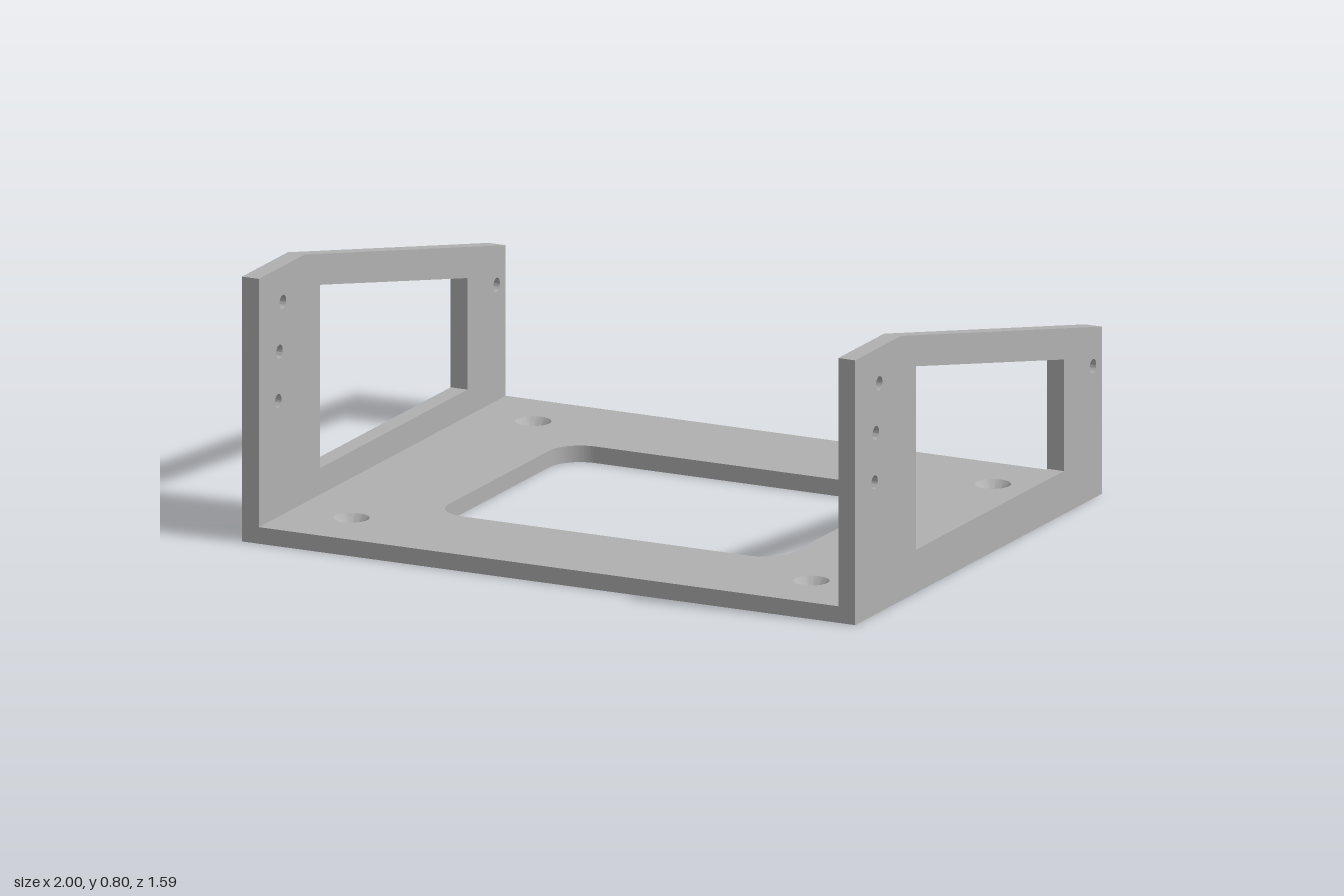
import * as THREE from 'three';
import { toCreasedNormals } from 'three/addons/utils/BufferGeometryUtils.js';

const HALF_DEPTH = 0.795;
const WALL = 0.055;
const FLOOR = 0.05;

function polygon(points) {
  return points.map(([a, b]) => new THREE.Vector2(a, b));
}

function circleHole(x, y, r) {
  return new THREE.Path().absarc(x, y, r, 0, Math.PI * 2, true);
}

function roundedHole(w, h, r) {
  const p = new THREE.Path();
  const x = w - r, y = h - r, q = Math.PI / 2;
  p.absarc(x, y, r, 0, q, false);
  p.absarc(-x, y, r, q, 2 * q, false);
  p.absarc(-x, -y, r, 2 * q, 3 * q, false);
  p.absarc(x, -y, r, 3 * q, 4 * q, false);
  p.closePath();
  return p;
}

function extrude(shape, depth) {
  const geo = new THREE.ExtrudeGeometry(shape, { depth, bevelEnabled: false, curveSegments: 16 });
  return toCreasedNormals(geo, 0.6);
}

export function createModel() {
  const group = new THREE.Group();
  const grey = new THREE.MeshStandardMaterial({ color: 0xb0b0b0 });
  grey.name = 'plain grey';

  const add = (name, geometry) => {
    const mesh = new THREE.Mesh(geometry, grey);
    mesh.name = name;
    group.add(mesh);
    return mesh;
  };

  // Floor plate with rounded opening and four screw holes
  const screwRadius = 0.053, boreRadius = 0.028;
  const screws = [[-0.75, -0.587], [0.75, -0.587], [-0.75, 0.583], [0.75, 0.583]];
  const inner = 1 - WALL;
  const floor = new THREE.Shape(polygon([
    [-inner, -HALF_DEPTH], [inner, -HALF_DEPTH], [inner, HALF_DEPTH], [-inner, HALF_DEPTH],
  ]));
  floor.holes.push(roundedHole(0.564, 0.424, 0.1));
  screws.forEach(([x, z]) => floor.holes.push(circleHole(x, z, screwRadius)));
  add('floorPlate', extrude(floor, FLOOR).rotateX(Math.PI / 2).translate(0, FLOOR, 0));

  // Countersunk seats: cone above, narrow bore below
  const seat = toCreasedNormals(new THREE.LatheGeometry(polygon([
    [screwRadius, FLOOR], [boreRadius, 0.022], [boreRadius, 0], [screwRadius, 0],
  ]), 32), 0.6);
  screws.forEach(([x, z], i) => add(`countersink${i + 1}`, seat).position.set(x, 0, z));

  // Side walls, drawn as (z, y), with sloped top, window and mounting holes
  const side = new THREE.Shape(polygon([
    [-HALF_DEPTH, 0], [HALF_DEPTH, 0], [HALF_DEPTH, 0.8], [0.5, 0.8], [-HALF_DEPTH, 0.505],
  ]));
  side.holes.push(new THREE.Path(polygon([
    [0.402, 0.13], [-0.549, 0.13], [-0.549, 0.467], [0.402, 0.684],
  ])));
  [[0.64, 0.692], [0.662, 0.547], [0.67, 0.4], [-0.736, 0.4]]
    .forEach(([z, y]) => side.holes.push(circleHole(z, y, 0.021)));
  const sideGeometry = extrude(side, WALL).rotateY(-Math.PI / 2);
  add('leftWall', sideGeometry).position.x = 1;
  add('rightWall', sideGeometry).position.x = -1 + WALL;

  return group;
}
